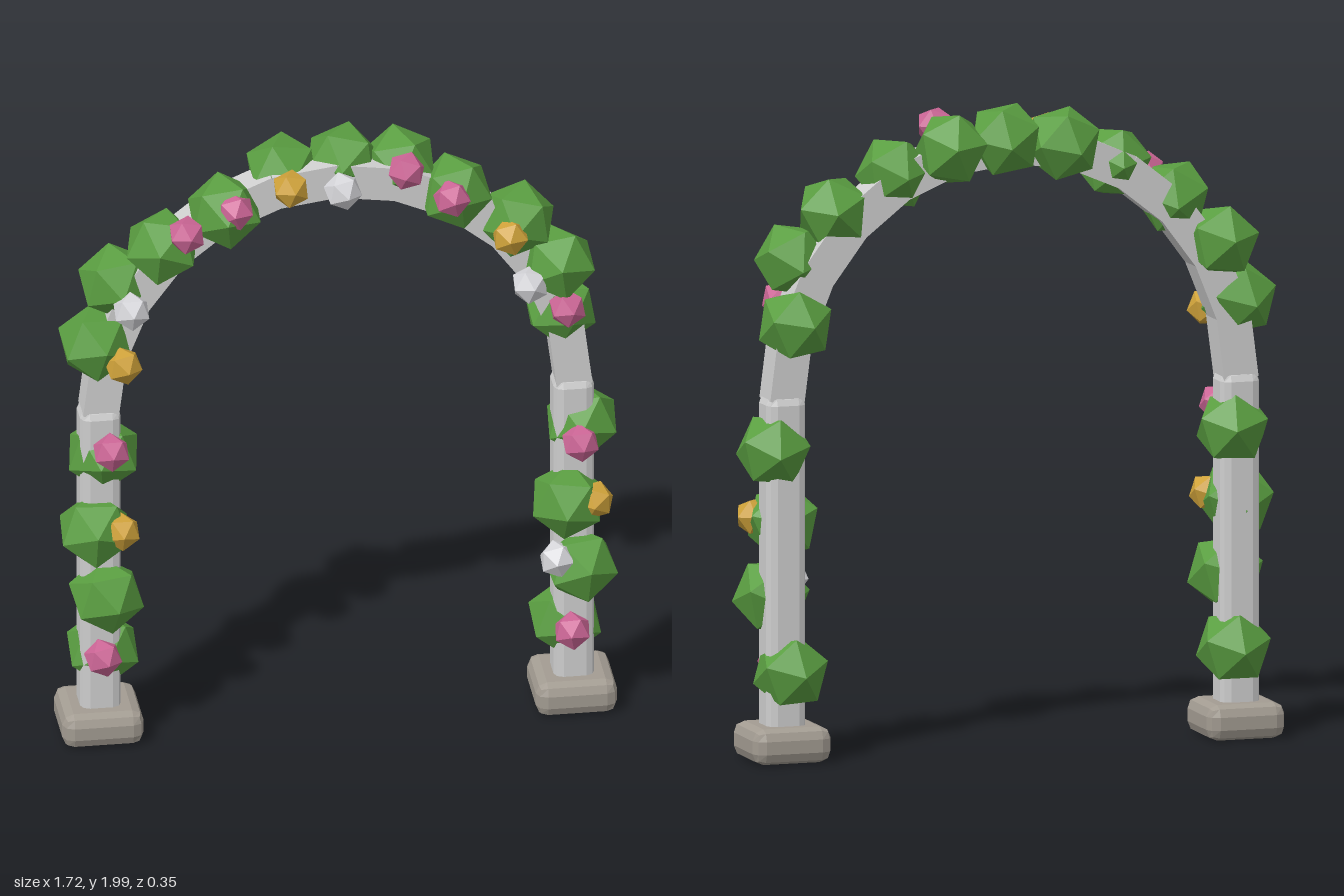
import * as THREE from 'three';
import { RoundedBoxGeometry } from 'three/addons/geometries/RoundedBoxGeometry.js';

const mat = (name, color) => {
  const m = new THREE.MeshStandardMaterial({ color, flatShading: true });
  m.name = name;
  return m;
};

export function createModel() {
  const group = new THREE.Group();
  const frame = mat('pale frame', 0xd0d0d0);
  const stone = mat('foot stone', 0xa39c92);
  const green = mat('leaf green', 0x5a9e41);
  const colors = {
    pink: mat('flower pink', 0xcc6696),
    yellow: mat('flower yellow', 0xcfa23a),
    white: mat('flower white', 0xd6d6da),
  };
  const add = (name, geo, material, x, y, z) => {
    const mesh = new THREE.Mesh(geo, material);
    mesh.name = name;
    mesh.position.set(x, y, z);
    group.add(mesh);
    return mesh;
  };
  const cx = -0.008, cz = -0.008, half = 0.7275;

  // Feet and posts
  const footGeo = new RoundedBoxGeometry(0.25, 0.11, 0.25, 1, 0.035);
  const postGeo = new RoundedBoxGeometry(0.125, 1.06, 0.125, 1, 0.028);
  for (const s of [-1, 1]) {
    add('foot', footGeo, stone, cx + s * half, 0.055, cz);
    add('post', postGeo, frame, cx + s * half, 0.595, cz);
  }

  // Arch made of straight beams set end to end
  const steps = 12, archY = 1.11, rise = 0.75;
  const point = (i) => {
    const a = (i / steps) * Math.PI;
    return new THREE.Vector2(cx + half * Math.cos(a), archY + rise * Math.sin(a));
  };
  for (let i = 0; i < steps; i++) {
    const a = point(i), b = point(i + 1);
    const beam = new THREE.BoxGeometry(a.distanceTo(b) + 0.012, 0.11, 0.105);
    add('archBeam', beam, frame, (a.x + b.x) / 2, (a.y + b.y) / 2, cz)
      .rotation.z = Math.atan2(b.y - a.y, b.x - a.x);
  }

  // Leaf clumps: x, y, z
  const leaves = [
    [-0.72, 0.275, -0.03], [-0.72, 0.495, 0.05], [-0.755, 0.72, 0.045], [-0.72, 0.95, -0.02],
    [0.7, 0.27, -0.03], [0.735, 0.495, 0.055], [0.695, 0.72, 0.06], [0.75, 0.955, -0.015],
    [-0.75, 1.345, 0.01], [-0.68, 1.53, -0.03], [-0.545, 1.665, 0.02], [-0.355, 1.78, 0.03],
    [0.685, 1.34, -0.03], [0.67, 1.53, 0.04], [0.55, 1.675, 0.01], [0.355, 1.785, 0.01],
    [-0.165, 1.86, -0.055], [0.195, 1.86, -0.055], [0.02, 1.882, -0.055],
  ];
  const leafGeo = new THREE.IcosahedronGeometry(0.12).rotateX(0.5);
  leaves.forEach(([x, y, z], i) => {
    add('leafClump', leafGeo, green, x, y, z)
      .rotation.set(0.15 * Math.sin(i * 2.3), 0.2 * Math.sin(i * 1.7), 0.3 * Math.sin(i * 3.1));
  });

  // Flowers on the front: x, y by colour
  const flowers = {
    pink: [[-0.712, 1.01], [-0.737, 0.305], [-0.48, 1.74], [-0.33, 1.81], [0.195, 1.91],
      [0.335, 1.805], [0.69, 1.4], [0.73, 0.935], [0.705, 0.29]],
    yellow: [[-0.68, 0.735], [-0.675, 1.305], [-0.16, 1.875], [0.515, 1.66], [0.775, 0.735]],
    white: [[-0.65, 1.49], [0, 1.855], [0.575, 1.49], [0.66, 0.54]],
  };
  const flowerGeo = new THREE.IcosahedronGeometry(0.06).rotateX(0.5);
  for (const [color, spots] of Object.entries(flowers)) {
    spots.forEach(([x, y], i) => {
      add(color + 'Flower', flowerGeo, colors[color], x, y, 0.097)
        .rotation.set(0.1 * Math.sin(i * 2), 0.2 * Math.sin(i * 1.3), 0.3 * Math.sin(i * 2.7));
    });
  }
  return group;
}
